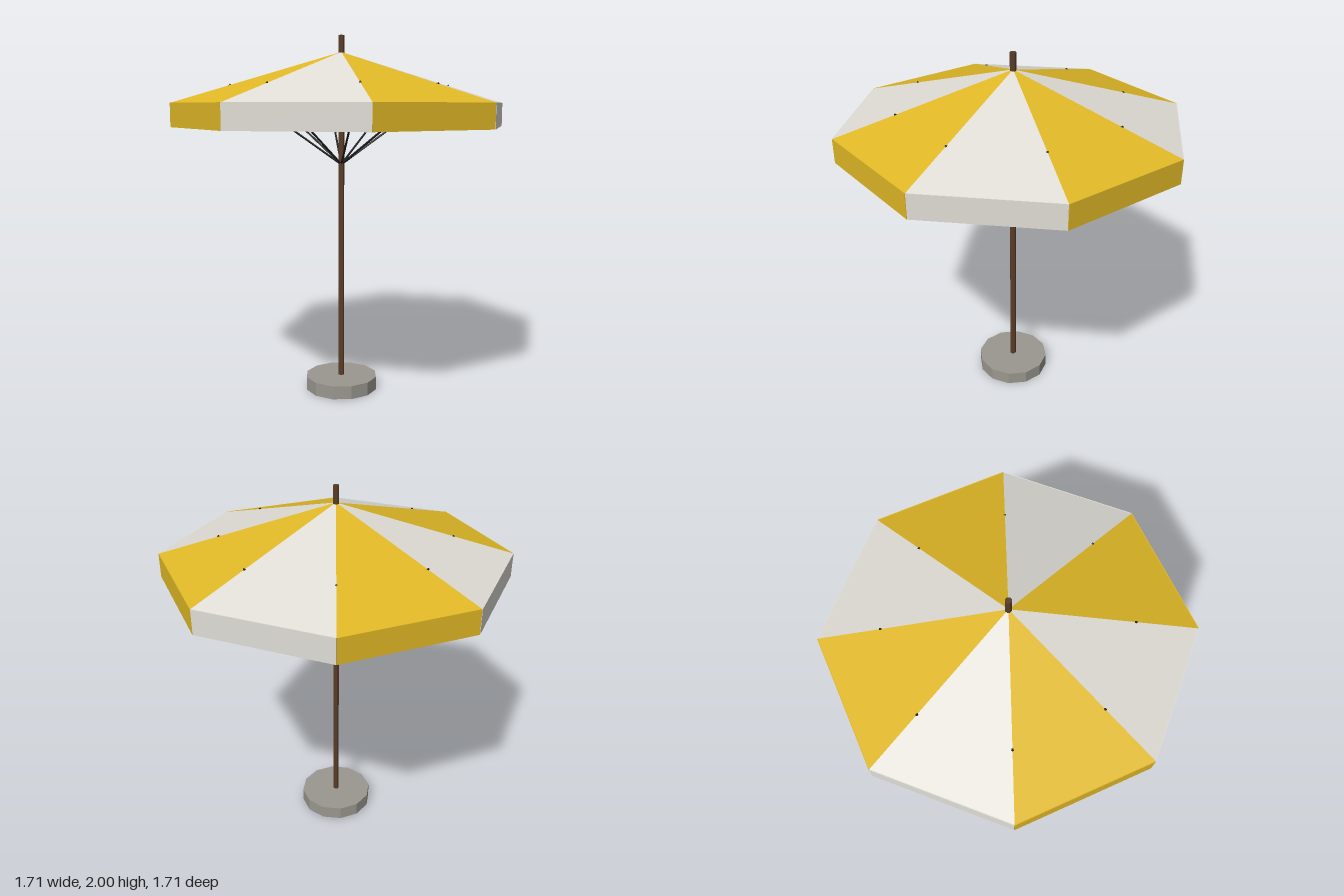
import * as THREE from 'three';

const paint = (name, color, side = THREE.FrontSide) => {
  const m = new THREE.MeshStandardMaterial({ color, side, flatShading: true });
  m.name = name;
  return m;
};

export function createModel() {
  const group = new THREE.Group();
  const yellow = paint('yellow fabric', 0xe0b826, THREE.DoubleSide);
  const white = paint('white fabric', 0xe0ddd6, THREE.DoubleSide);
  const wood = paint('brown wood', 0x5a3d28);
  const metal = paint('dark metal', 0x222222);
  const stone = paint('grey stone', 0x9a978f);

  const add = (name, geometry, material, parent = group) => {
    const mesh = new THREE.Mesh(geometry, material);
    mesh.name = name;
    parent.add(mesh);
    return mesh;
  };

  // Foot and pole
  add('base', new THREE.CylinderGeometry(0.205, 0.205, 0.075, 12), stone).position.y = 0.0375;
  add('pole', new THREE.CylinderGeometry(0.017, 0.017, 2, 8), wood).position.y = 1;

  // Eight canopy segments, each with a panel, a hanging valance and a strut
  const apexY = 1.91, rimY = 1.635, apothem = 0.853, half = apothem * Math.tan(Math.PI / 8);
  const panel = new THREE.BufferGeometry();
  panel.setAttribute('position', new THREE.Float32BufferAttribute(
    [0, apexY, 0, -half, rimY, apothem, half, rimY, apothem], 3));
  panel.computeVertexNormals();
  const valance = new THREE.BoxGeometry(half * 2, 0.13, 0.008);

  const strutStart = new THREE.Vector3(0, 1.295, 0);
  const strutEnd = new THREE.Vector3(0, 1.732, 0.61);
  const strutDir = strutEnd.clone().sub(strutStart);
  const strut = new THREE.CylinderGeometry(0.006, 0.006, strutDir.length(), 5);

  for (let i = 0; i < 8; i++) {
    const segment = new THREE.Group();
    segment.name = 'canopySegment';
    segment.rotation.y = i * Math.PI / 4;
    group.add(segment);
    const fabric = i % 2 ? yellow : white;
    add('canopyPanel', panel, fabric, segment);
    add('valance', valance, fabric, segment).position.set(0, rimY - 0.065, apothem);

    const arm = new THREE.Group();
    arm.name = 'strutArm';
    arm.rotation.y = Math.PI / 8;
    segment.add(arm);
    const rod = add('strut', strut, metal, arm);
    rod.position.copy(strutStart).add(strutEnd).multiplyScalar(0.5);
    rod.quaternion.setFromUnitVectors(new THREE.Vector3(0, 1, 0), strutDir.clone().normalize());
  }
  return group;
}
